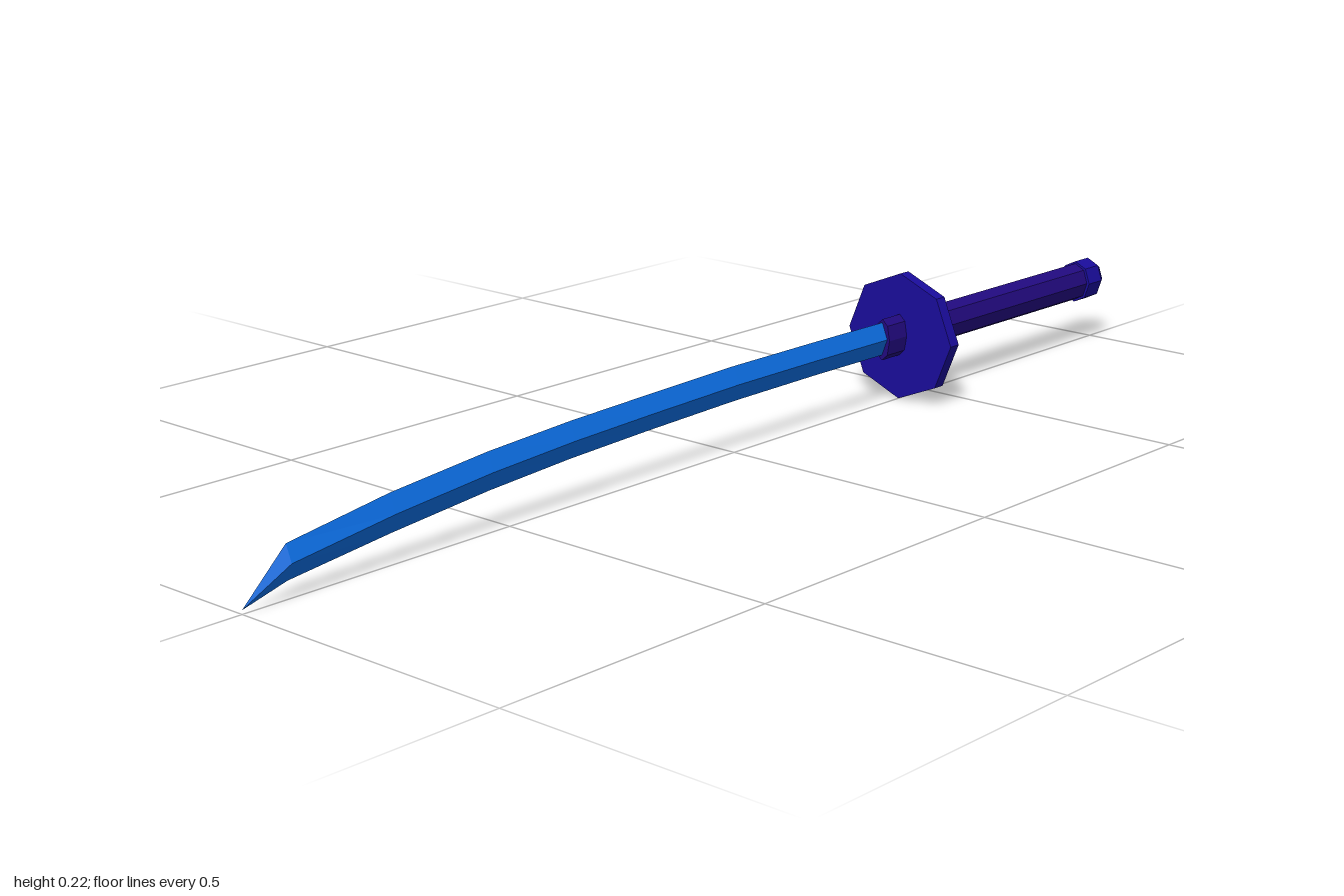
import * as THREE from 'three';

const material = (color) => new THREE.MeshStandardMaterial({ color, flatShading: true });
const blue = material(0x0c6fe6);
const indigo = material(0x1a0c9c);
const violet = material(0x220a80);

// Eight-sided prism along z, from back to front, with elliptical half-sizes at each end
function prism(name, mat, back, front, rx, ry, backScale = 1, y = 0.115) {
  const geo = new THREE.CylinderGeometry(1, backScale, front - back, 8);
  geo.rotateX(Math.PI / 2).scale(rx, ry, 1);
  const mesh = new THREE.Mesh(geo, mat);
  mesh.name = name;
  mesh.position.set(0, y, (front + back) / 2);
  return mesh;
}

// Curved blade: diamond cross-sections swept forward, closing on a low point
function bladeGeometry() {
  // z, spine height, edge height
  const sections = [
    [-0.42, 0.145, 0.088], [-0.2, 0.146, 0.089], [0, 0.146, 0.088], [0.2, 0.141, 0.083],
    [0.37, 0.136, 0.077], [0.54, 0.127, 0.067], [0.73, 0.11, 0.05], [0.92, 0.083, 0.029],
  ];
  const half = 0.011;
  const positions = [];
  const index = [];
  sections.forEach(([z, top, bottom]) => {
    const mid = (top + bottom) / 2;
    positions.push(0, top, z, -half, mid, z, 0, bottom, z, half, mid, z);
  });
  const tip = sections.length * 4;
  positions.push(0, 0.008, 1);
  for (let s = 0; s < sections.length; s++) {
    for (let k = 0; k < 4; k++) {
      const a = s * 4 + k;
      const b = s * 4 + (k + 1) % 4;
      if (s === sections.length - 1) index.push(a, b, tip);
      else index.push(a, b, b + 4, a, b + 4, a + 4);
    }
  }
  index.push(0, 2, 1, 0, 3, 2);
  const geo = new THREE.BufferGeometry();
  geo.setAttribute('position', new THREE.Float32BufferAttribute(positions, 3));
  geo.setIndex(index);
  const flat = geo.toNonIndexed();
  flat.computeVertexNormals();
  return flat;
}

export function createModel() {
  const group = new THREE.Group();
  group.name = 'sword';

  const blade = new THREE.Mesh(bladeGeometry(), blue);
  blade.name = 'blade';
  group.add(blade);

  // Collar and octagonal guard
  group.add(prism('collar', violet, -0.44, -0.378, 0.016, 0.036));
  group.add(prism('guard', indigo, -0.447, -0.425, 0.11, 0.11, 1, 0.112));

  // Grip with a bevelled end cap
  group.add(prism('grip', violet, -0.95, -0.44, 0.027, 0.034));
  const pommel = new THREE.Group();
  pommel.name = 'pommel';
  pommel.add(prism('pommelBand', indigo, -0.985, -0.945, 0.032, 0.038));
  pommel.add(prism('pommelBevel', indigo, -1, -0.985, 0.032, 0.038, 0.72));
  group.add(pommel);

  return group;
}
